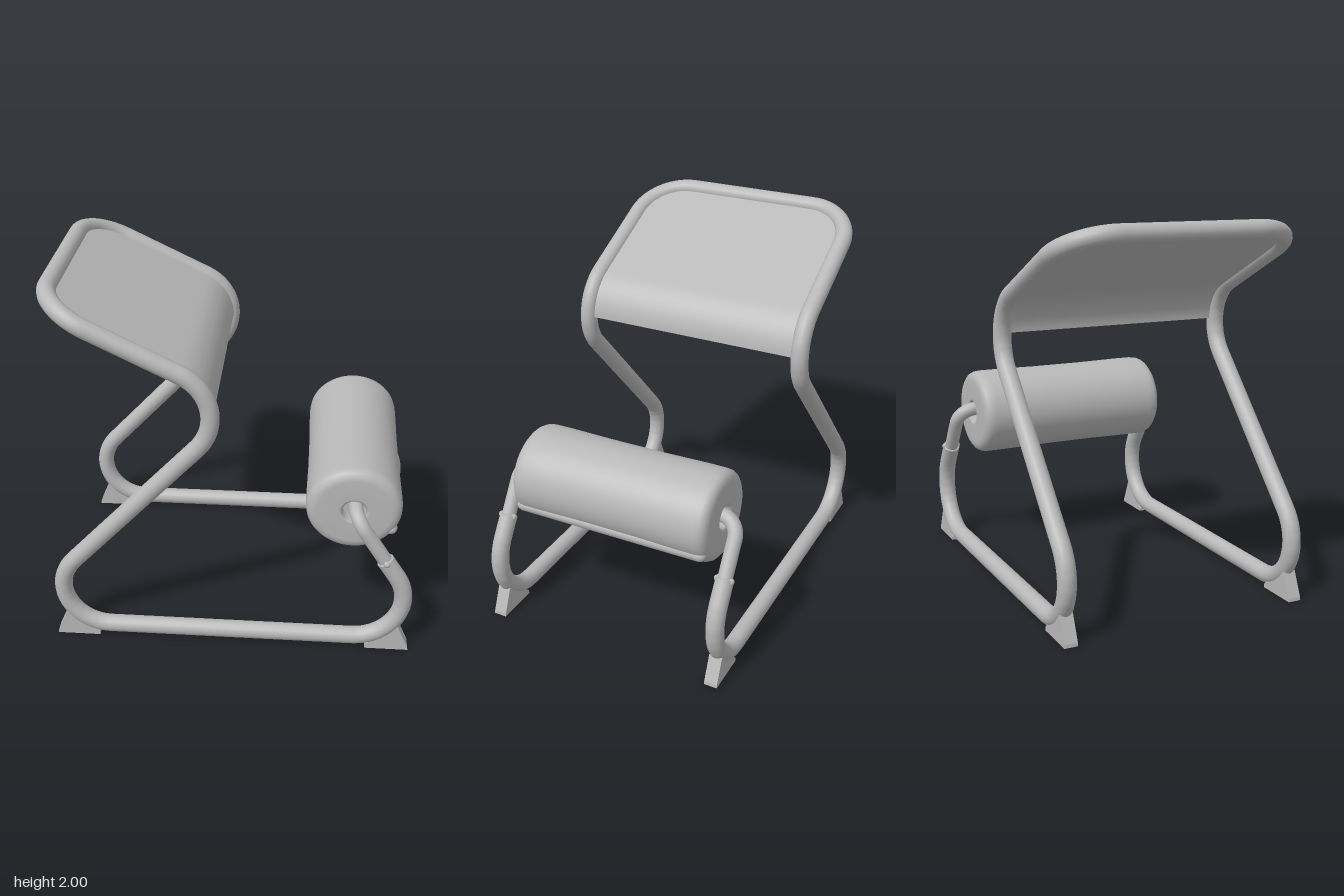
import * as THREE from 'three';

const V = (x, y, z = 0) => new THREE.Vector3(x, y, z);

// Polyline path whose inner corners are rounded; each corner is [point, radius]
function roundedPath(corners) {
  const pts = [];
  corners.forEach(([p, r], i) => {
    if (!r) { pts.push(p); return; }
    const d1 = corners[i - 1][0].clone().sub(p).normalize();
    const d2 = corners[i + 1][0].clone().sub(p).normalize();
    const half = d1.angleTo(d2) / 2, phi = Math.PI - 2 * half;
    const c = d1.clone().add(d2).normalize().multiplyScalar(r / Math.sin(half)).add(p);
    const a = d1.multiplyScalar(r / Math.tan(half)).add(p).sub(c);
    const b = d2.multiplyScalar(r / Math.tan(half)).add(p).sub(c);
    for (let k = 0; k <= 20; k++) {
      const u = k / 20;
      pts.push(c.clone()
        .addScaledVector(a, Math.sin((1 - u) * phi) / Math.sin(phi))
        .addScaledVector(b, Math.sin(u * phi) / Math.sin(phi)));
    }
  });
  const path = new THREE.CurvePath();
  path.arcLengthDivisions = 1000;
  for (let i = 1; i < pts.length; i++) path.add(new THREE.LineCurve3(pts[i - 1], pts[i]));
  return path;
}

export function createModel() {
  const model = new THREE.Group();
  const grey = new THREE.MeshStandardMaterial({ color: 0xb8b8b8 });
  const add = (name, geometry, x = 0, y = 0, z = 0) => {
    const mesh = new THREE.Mesh(geometry, grey);
    mesh.name = name;
    mesh.position.set(x, y, z);
    model.add(mesh);
    return mesh;
  };

  const side = 0.645, topSide = 0.632, cornerR = 0.26;
  const topBar = V(-0.93, 1.955), bend = V(0.066, 1.464), joint = V(0.812, 0.568);

  // One continuous bent tube: runner, slanted leg, backrest hoop, and back down
  const half = [
    [V(joint.x, joint.y, side), 0],
    [V(1.14, 0.058, side), 0.264],
    [V(-1.243, 0.058, side), 0.25],
    [V(bend.x, bend.y, side), 0.26],
    [V(topBar.x, topBar.y, topSide), cornerR],
  ];
  const mirrored = half.map(([p, r]) => [V(p.x, p.y, -p.z), r]).reverse();
  add('tubeFrame', new THREE.TubeGeometry(roundedPath([...half, ...mirrored]), 560, 0.048, 18));

  // Panel stretched inside the hoop, wrapping over the bend
  const profile = roundedPath([[topBar, 0], [bend, 0.26], [V(-0.82, 0.5), 0]]);
  const length = profile.getLength();
  let end = 0;
  while (profile.getPointAt(end).y > 1.4) end += 0.002;
  const panel = new THREE.BoxGeometry(1, 1, 1, 60, 1, 1);
  const pos = panel.attributes.position;
  for (let i = 0; i < pos.count; i++) {
    const u = (pos.getX(i) + 0.5) * end;
    const p = profile.getPointAt(u), t = profile.getTangentAt(u);
    const k = Math.max(0, cornerR - u * length);
    const w = topSide - 0.005 - cornerR + Math.sqrt(cornerR * cornerR - k * k);
    const off = pos.getY(i) * 0.03;
    pos.setXYZ(i, p.x - t.y * off, p.y + t.x * off, pos.getZ(i) * 2 * w);
  }
  panel.computeVertexNormals();
  add('backPanel', panel);

  // Padded roll with softly rounded ends and a recess for the arms
  const endProfile = [
    [0, 0.5], [0.058, 0.5], [0.062, 0.505], [0.064, 0.555], [0.07, 0.563], [0.08, 0.566],
    [0.195, 0.565], [0.222, 0.559], [0.241, 0.545], [0.251, 0.525], [0.254, 0.495], [0.254, 0.4], [0.25, 0.15],
  ];
  const rollPoints = [
    ...endProfile.map(([r, h]) => new THREE.Vector2(r, -h)),
    ...endProfile.slice().reverse().map(([r, h]) => new THREE.Vector2(r, h)),
  ];
  const roll = new THREE.LatheGeometry(rollPoints, 56);
  roll.rotateX(Math.PI / 2).scale(1, 0.945, 1);
  add('paddedRoll', roll, 0.637, 0.812, 0);

  // Cover seam running along the roll
  const seam = new THREE.CapsuleGeometry(0.034, 1.04, 6, 14);
  seam.rotateX(Math.PI / 2);
  add('rollSeam', seam, 0.836, 0.692, 0);

  // Wedge foot outline, drawn for the right-hand end
  const foot = new THREE.Shape([
    [0.965, 0], [0.962, 0.018], [0.905, 0.15], [0.84, 0.13], [0.73, 0.02], [0.73, 0],
  ].map(([x, y]) => new THREE.Vector2(x, y)).reverse());
  const footGeometry = new THREE.ExtrudeGeometry(foot, { depth: 0.072, bevelEnabled: false });
  footGeometry.translate(0, 0, -0.036);

  for (const s of [1, -1]) {
    // Thinner arm slotted into the frame and turning inward to the roll
    const start = V(0.845, 0.516, s * side);
    const arm = roundedPath([[start, 0], [V(0.645, 0.828, s * side), 0.1], [V(0.645, 0.828, s * 0.48), 0]]);
    add('rollArm', new THREE.TubeGeometry(arm, 60, 0.039, 16));

    // Rounded lip at the open end of the frame tube
    const lip = new THREE.TorusGeometry(0.041, 0.008, 8, 20);
    const collar = add('armCollar', lip, joint.x, joint.y, s * side);
    collar.quaternion.setFromUnitVectors(V(0, 0, 1), V(-0.54, 0.841, 0).normalize());

    // Locking pin through the joint
    const pin = new THREE.CapsuleGeometry(0.018, 0.075, 5, 12);
    pin.rotateX(Math.PI / 2);
    add('lockingPin', pin, 0.818, 0.572, s * side);

    // Feet at both ends of each runner
    add('frontFoot', footGeometry, 0, 0, s * side);
    add('rearFoot', footGeometry, 0, 0, s * side).rotation.y = Math.PI;
  }
  return model;
}
